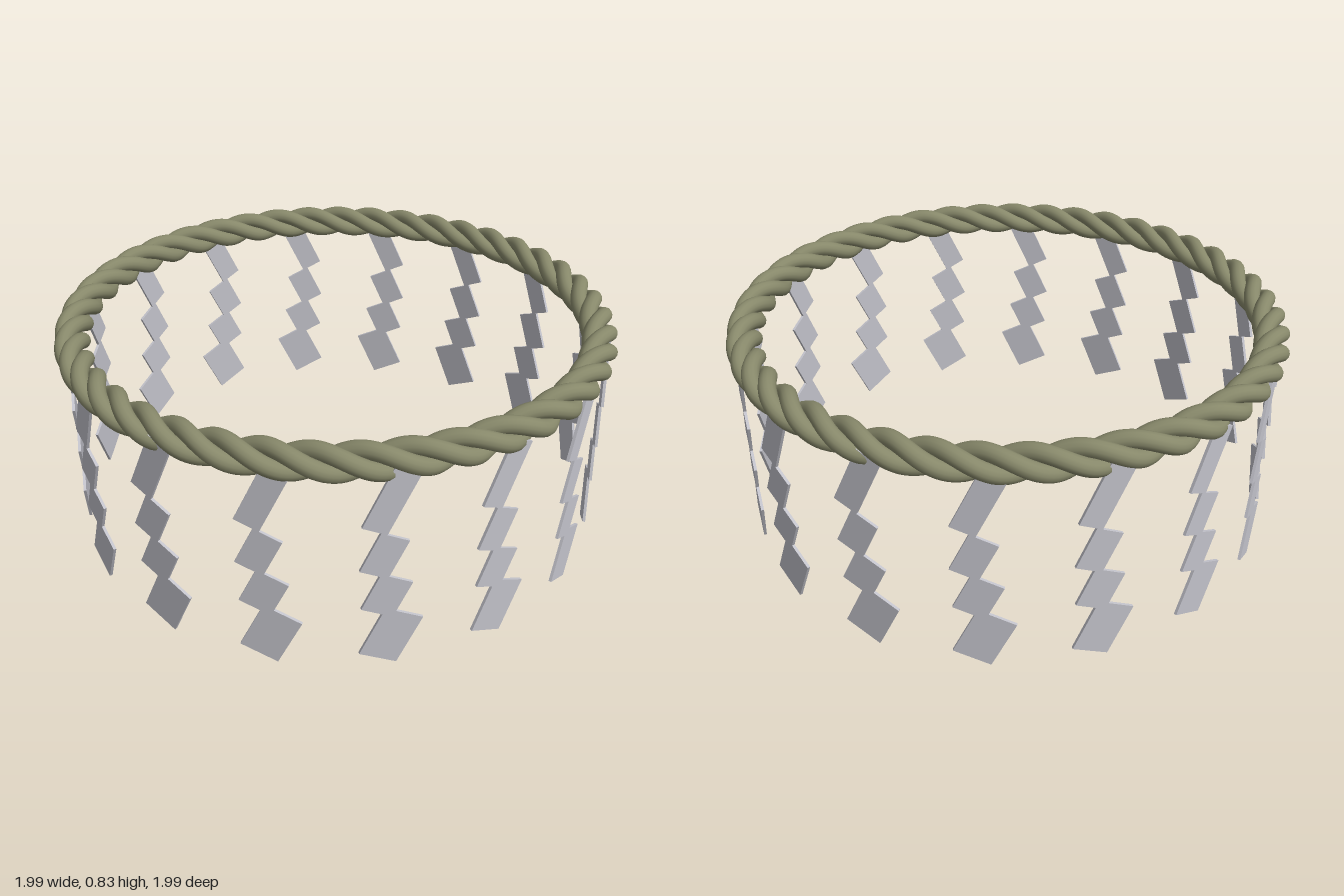
import * as THREE from 'three';

const RING_RADIUS = 0.933, ROPE_Y = 0.765;
const STRANDS = 3, TWISTS = 14, STRAND_OFFSET = 0.0335, STRAND_RADIUS = 0.029;
const STREAMERS = 16, STREAMER_RADIUS = 0.965, THICKNESS = 0.01;

// One strand winding around the ring
class StrandCurve extends THREE.Curve {
  constructor(phase) {
    super();
    this.phase = phase;
  }
  getPoint(t, target = new THREE.Vector3()) {
    const a = t * Math.PI * 2;
    const p = Math.PI + this.phase - TWISTS * a;
    const r = RING_RADIUS + STRAND_OFFSET * Math.cos(p);
    return target.set(r * Math.sin(a), ROPE_Y + STRAND_OFFSET * Math.sin(p), r * Math.cos(a));
  }
}

// Zigzag strip: tilted panels, each stepped sideways and tucked over the end of the last
function createStreamer(material) {
  const tilt = THREE.MathUtils.degToRad(25);
  const panels = [
    { length: 0.215, width: 0.086, step: 0, overlap: 0.015 },
    { length: 0.15, width: 0.098, step: 0.065, overlap: 0 },
    { length: 0.135, width: 0.112, step: 0.07, overlap: 0.008 },
    { length: 0.17, width: 0.135, step: 0.075, overlap: 0.024 },
  ];
  const streamer = new THREE.Group();
  streamer.name = 'zigzagStreamer';
  const strip = new THREE.Group();
  strip.name = 'strip';
  strip.position.set(-0.035, 0.753, STREAMER_RADIUS);
  strip.rotation.z = -tilt;
  let left = 0, top = 0;
  for (const { length, width, step, overlap } of panels) {
    left += step;
    const panel = new THREE.Mesh(new THREE.BoxGeometry(width, length + overlap, THICKNESS), material);
    panel.name = 'streamerPanel';
    panel.position.set(left + width / 2, top + (overlap - length) / 2, 0);
    strip.add(panel);
    top -= length;
  }
  streamer.add(strip);
  return streamer;
}

export function createModel() {
  const model = new THREE.Group();
  model.name = 'ropeRingWithStreamers';
  const ropeMaterial = new THREE.MeshStandardMaterial({ color: 0x87886a });
  ropeMaterial.name = 'olive rope';
  const paperMaterial = new THREE.MeshStandardMaterial({ color: 0xc2c2ca });
  paperMaterial.name = 'pale grey paper';

  // Twisted rope ring
  const rope = new THREE.Group();
  rope.name = 'rope';
  for (let i = 0; i < STRANDS; i++) {
    const curve = new StrandCurve((i * Math.PI * 2) / STRANDS);
    const strand = new THREE.Mesh(new THREE.TubeGeometry(curve, 420, STRAND_RADIUS, 14, true), ropeMaterial);
    strand.name = 'ropeStrand';
    rope.add(strand);
  }
  model.add(rope);

  // Zigzag streamers hanging around the ring
  const streamers = new THREE.Group();
  streamers.name = 'streamers';
  for (let i = 0; i < STREAMERS; i++) {
    const streamer = createStreamer(paperMaterial);
    streamer.rotation.y = (i * Math.PI * 2) / STREAMERS;
    streamers.add(streamer);
  }
  model.add(streamers);
  return model;
}
